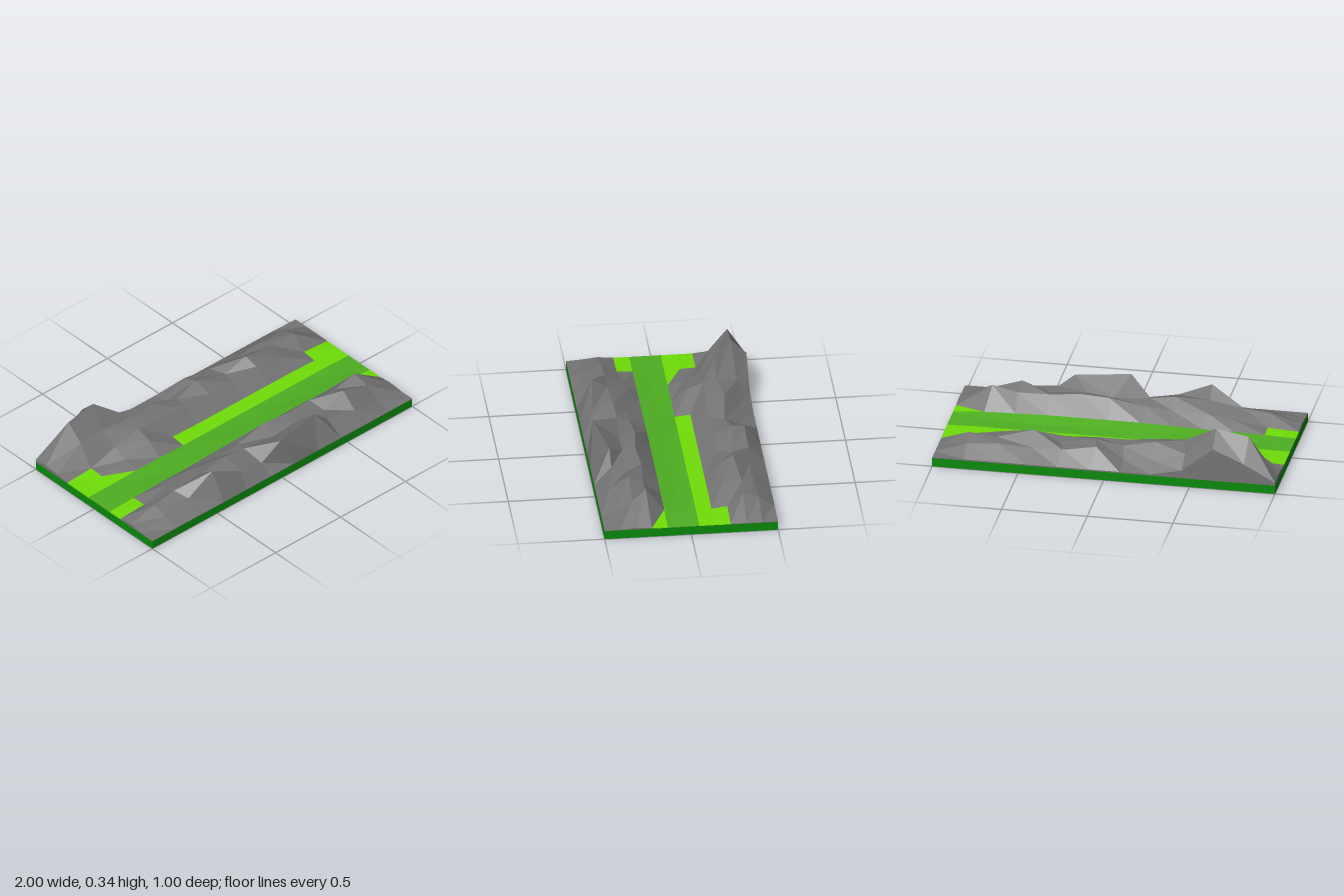
import * as THREE from 'three';

const N = 11;            // cells along each side of the terrain grid
const SLAB = 0.055;      // height of the base slab
const COLORS = { rock: 0x747474, meadow: 0x6fdc08, valleyFloor: 0x4fae22, slab: 0x0a880a };

// Heights in hundredths, west to east; rows run from the back to the front
const ROWS = [
  [7, 17, 25, 10, 6, 6, 6, 6, 6, 6, 6, 5.5],
  [7.5, 30, 34, 17, 11, 9, 16, 13, 12, 13, 12, 5.5],
  [7, 20, 21, 20, 19, 14, 18, 13, 19, 14, 15, 5.5],
  [6, 7, 13, 17, 16, 14, 14, 13, 15, 13, 7, 5.5],
  [6, 6.5, 9, 13.5, 7, 6.5, 6.5, 6.5, 6.5, 6.5, 6, 5.5],
  [6, 6, 6.5, 6.5, 6, 6, 6, 6, 6, 6, 6, 5.5],
  [6, 6, 6, 6.5, 6.5, 7, 6.5, 6.5, 6, 6, 6, 5.5],
  [6, 6.5, 7, 7, 7.5, 8, 8, 8, 8, 7.5, 7, 5.5],
  [6, 7, 11, 13, 13, 14, 18, 18, 17, 16, 19, 5.5],
  [7, 12, 14, 17, 18, 16, 14, 16, 14, 20, 14, 6.3],
  [6, 9, 11, 23, 14, 11, 23, 22, 15, 12, 8, 5.5],
  [5.5, 5.5, 5.5, 5.5, 5.5, 5.5, 5.5, 5.5, 5.5, 5.5, 5.5, 5.5],
];

function seeded(seed) {
  return () => (seed = (seed * 16807) % 2147483647) / 2147483647 - 0.5;
}

// Which surface a triangle belongs to, by cell and half
function surfaceOf(i, j, half) {
  if (j === 5 || j === 6) return 'valleyFloor';
  if (j === 4 && (i >= 4 || i === 0 || (i === 1 && half === 0))) return 'meadow';
  if (j === 3 && (i === 0 || i === 10)) return 'meadow';
  if (j === 7 && (i === 0 || (i === 10 && half === 1))) return 'meadow';
  return 'rock';
}

function surfaceMesh(name, positions) {
  const geometry = new THREE.BufferGeometry();
  geometry.setAttribute('position', new THREE.Float32BufferAttribute(positions, 3));
  geometry.computeVertexNormals();
  const mesh = new THREE.Mesh(geometry, new THREE.MeshStandardMaterial({
    color: COLORS[name], flatShading: true, side: THREE.DoubleSide }));
  mesh.name = name;
  return mesh;
}

export function createModel() {
  const group = new THREE.Group();
  group.name = 'valleyTerrain';

  // Base slab
  const slab = new THREE.Mesh(new THREE.BoxGeometry(2, SLAB - 0.003, 1),
    new THREE.MeshStandardMaterial({ color: COLORS.slab, flatShading: true }));
  slab.position.y = (SLAB - 0.003) / 2;
  slab.name = 'baseSlab';
  group.add(slab);

  // Grid points, slightly shifted on the slopes to make the rock irregular
  const rand = seeded(4217);
  const points = ROWS.map((row, j) => row.map((h, i) => {
    const slope = [1, 2, 8, 9, 10].includes(j) && i > 1 && i < N - 1;
    const dx = slope ? rand() * 0.06 : 0, dz = slope ? rand() * 0.04 : 0;
    return [-1 + 2 * i / N + dx, h / 100, -0.5 + j / N + dz];
  }));

  // Summits
  points[1][1] = [-0.83, 0.305, -0.41];
  points[1][2] = [-0.64, 0.34, -0.41];
  points[1][6] = [0.06, 0.165, -0.41];
  points[8][10] = [0.79, 0.195, 0.24];
  points[9][9] = [0.63, 0.2, 0.32];
  points[10][3] = [-0.46, 0.23, 0.41];
  points[10][6] = [0.02, 0.23, 0.46];
  points[10][7] = [0.34, 0.225, 0.4];

  // Terrain triangles, sorted by surface
  const faces = { rock: [], meadow: [], valleyFloor: [] };
  for (let j = 0; j < N; j++) {
    for (let i = 0; i < N; i++) {
      const a = points[j][i], b = points[j][i + 1];
      const c = points[j + 1][i], d = points[j + 1][i + 1];
      faces[surfaceOf(i, j, 0)].push(...a, ...c, ...d);
      faces[surfaceOf(i, j, 1)].push(...a, ...d, ...b);
    }
  }

  // Cut sides between the slab and the terrain border
  const skirt = (p, q, list) => {
    const p0 = [p[0], SLAB - 0.004, p[2]], q0 = [q[0], SLAB - 0.004, q[2]];
    list.push(...p, ...q, ...p0, ...q, ...q0, ...p0);
  };
  for (let k = 0; k < N; k++) {
    skirt(points[0][k], points[0][k + 1], faces.rock);
    skirt(points[N][k + 1], points[N][k], faces.rock);
    skirt(points[k + 1][0], points[k][0], faces[surfaceOf(0, k, 0)]);
    skirt(points[k][N], points[k + 1][N], faces[surfaceOf(10, k, 1)]);
  }

  for (const name in faces) group.add(surfaceMesh(name, faces[name]));
  return group;
}
